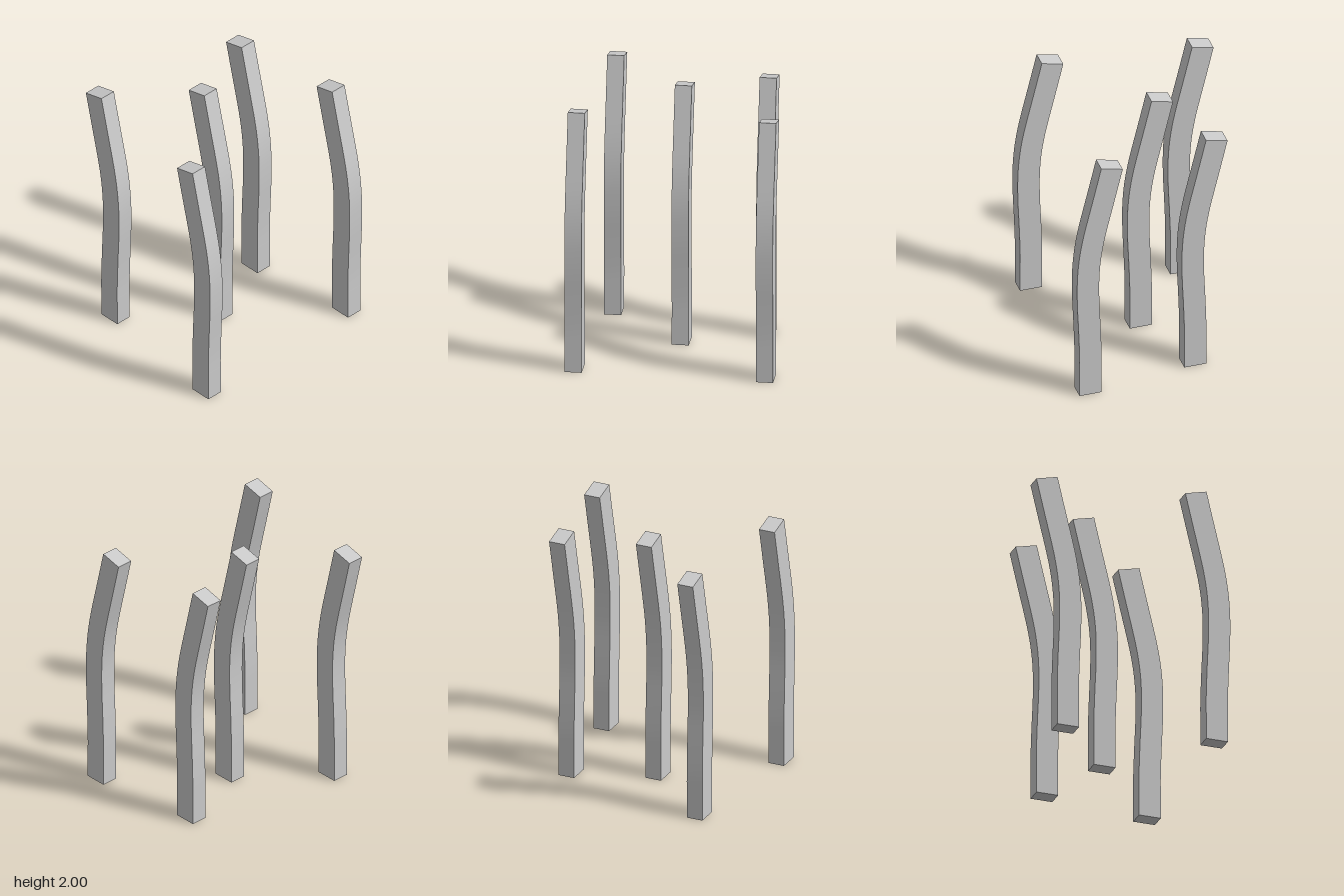
import * as THREE from 'three';
import { toCreasedNormals } from 'three/addons/utils/BufferGeometryUtils.js';

const HALF_WIDTH = 0.085, DEPTH = 0.126;

// Centre line of one post: straight foot, gentle belly, straight leaning top
const CENTRE = [
  [0, 0], [0, 0.18], [0, 0.36], [0.008, 0.6], [0.016, 0.78], [0.0185, 0.92], [0.016, 1.06],
  [0.003, 1.21], [-0.021, 1.36], [-0.054, 1.51], [-0.09, 1.66], [-0.128, 1.82], [-0.166, 1.982],
];

// Offset the centre line to both sides and extrude the outline in z
function postGeometry() {
  const curve = new THREE.SplineCurve(CENTRE.map(([x, y]) => new THREE.Vector2(x, y)));
  const left = [], right = [], steps = 36;
  for (let i = 0; i <= steps; i++) {
    const p = curve.getPoint(i / steps);
    const t = i === 0 ? new THREE.Vector2(0, 1) : curve.getTangent(i / steps);
    const n = new THREE.Vector2(t.y, -t.x).multiplyScalar(HALF_WIDTH);
    right.push(p.clone().add(n));
    left.push(p.clone().sub(n));
  }
  const outline = new THREE.Shape([...right, ...left.reverse()]);
  const geometry = new THREE.ExtrudeGeometry(outline, { depth: DEPTH, bevelEnabled: false });
  geometry.translate(0, 0, -DEPTH / 2);
  return toCreasedNormals(geometry, Math.PI / 6);
}

export function createModel() {
  const group = new THREE.Group();
  group.name = 'bentPosts';
  const geometry = postGeometry();
  const material = new THREE.MeshStandardMaterial({ color: 0xcccccc });

  // Foot positions of the five posts (x, z)
  const feet = [[-0.488, 0.569], [-0.218, -0.599], [0.01, -0.001], [0.628, 0.709], [0.628, -0.711]];
  feet.forEach(([x, z], i) => {
    const post = new THREE.Mesh(geometry, material);
    post.name = `bentPost${i + 1}`;
    post.position.set(x, 0, z);
    group.add(post);
  });
  return group;
}
